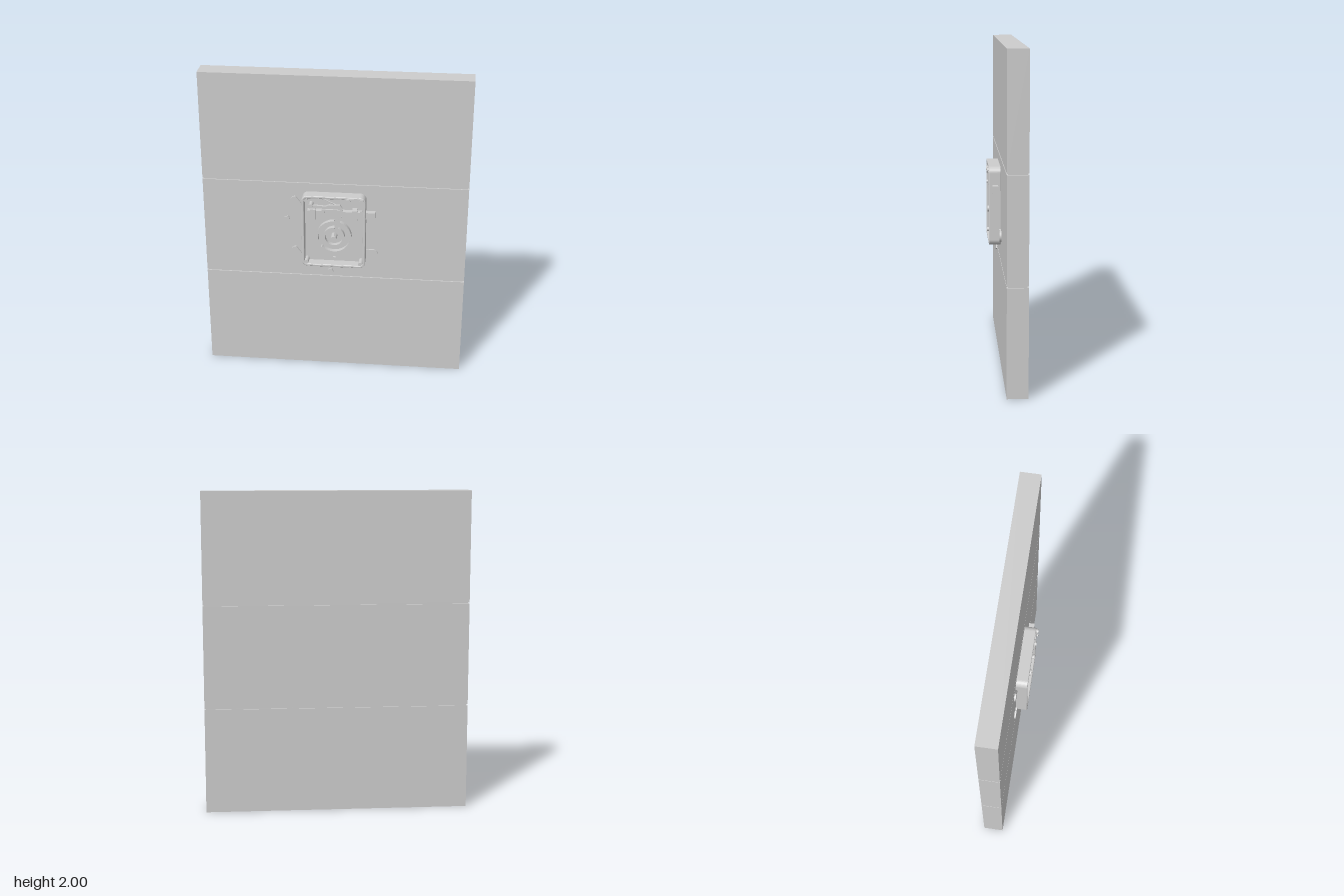
import * as THREE from 'three';

export function createModel() {
  const root = new THREE.Group();
  const grey = new THREE.MeshStandardMaterial({ color: 0xcccccc });
  grey.name = 'plain grey';

  const add = (name, geo, parent = root) => {
    const m = new THREE.Mesh(geo, grey);
    m.name = name;
    parent.add(m);
    return m;
  };
  // Box given by its extents
  const box = (name, x0, x1, y0, y1, z0, z1, parent) => {
    const m = add(name, new THREE.BoxGeometry(x1 - x0, y1 - y0, z1 - z0), parent);
    m.position.set((x0 + x1) / 2, (y0 + y1) / 2, (z0 + z1) / 2);
    return m;
  };
  // Disc or post facing forwards
  const post = (name, x, y, r, z0, z1, parent) => {
    const m = add(name, new THREE.CylinderGeometry(r, r, z1 - z0, 24).rotateX(Math.PI / 2), parent);
    m.position.set(x, y, (z0 + z1) / 2);
    return m;
  };
  // Flat shape extruded from z0 to z1
  const plate = (name, shape, z0, z1, parent) => {
    const m = add(name, new THREE.ExtrudeGeometry(shape, { depth: z1 - z0, bevelEnabled: false, curveSegments: 16 }), parent);
    m.position.z = z0;
    return m;
  };
  const poly = (pts) => new THREE.Shape(pts.map(([x, y]) => new THREE.Vector2(x, y)));
  const roundRect = (x0, x1, y0, y1, r, Type = THREE.Shape) => {
    const s = new Type();
    s.absarc(x1 - r, y1 - r, r, 0, Math.PI / 2);
    s.absarc(x0 + r, y1 - r, r, Math.PI / 2, Math.PI);
    s.absarc(x0 + r, y0 + r, r, Math.PI, Math.PI * 1.5);
    s.absarc(x1 - r, y0 + r, r, Math.PI * 1.5, Math.PI * 2);
    s.closePath();
    return s;
  };
  // Curved wall between two radii and two angles
  const arcWall = (r0, r1, a0, a1) => {
    const s = new THREE.Shape();
    s.absarc(0, 0, r1, a0, a1, false);
    s.absarc(0, 0, r0, a1, a0, true);
    s.closePath();
    return s;
  };

  // Door planks around a slightly recessed core
  const door = new THREE.Group();
  door.name = 'door';
  root.add(door);
  [[0, 0.657], [0.666, 1.303], [1.312, 2]].forEach(([a, b]) => box('plank', -0.824, 0.824, a, b, -0.106, 0.02, door));
  box('plankCore', -0.816, 0.816, 0.01, 1.99, -0.098, 0.012, door);

  const lock = new THREE.Group();
  lock.name = 'lock';
  root.add(lock);

  // Case: back plate and rounded side wall, open at the front
  plate('caseBack', roundRect(-0.195, 0.195, 0.765, 1.245, 0.035), 0.018, 0.03, lock);
  const wall = roundRect(-0.194, 0.194, 0.766, 1.244, 0.032);
  wall.holes.push(roundRect(-0.188, 0.188, 0.772, 1.238, 0.026, THREE.Path));
  const rim = add('caseWall', new THREE.ExtrudeGeometry(wall, {
    depth: 0.064, bevelEnabled: true, bevelSize: 0.005, bevelThickness: 0.005, bevelSegments: 3, curveSegments: 8,
  }), lock);
  rim.position.z = 0.023;

  // Mounting ears
  [[-0.275, -0.19, 1.145, 1.215], [-0.275, -0.19, 0.795, 0.865], [0.19, 0.275, 0.795, 0.865]]
    .forEach(([x0, x1, y0, y1]) => {
      const left = x0 < 0, r = 0.033, y = (y0 + y1) / 2;
      const s = new THREE.Shape();
      s.moveTo(left ? x1 : x0, left ? y1 : y0);
      if (left) s.absarc(x0 + r, y, 0.035, Math.PI / 2, Math.PI * 1.5);
      else s.absarc(x1 - r, y, 0.035, -Math.PI / 2, Math.PI / 2);
      s.lineTo(left ? x1 : x0, left ? y0 : y1);
      plate('mountingEar', s, 0.02, 0.031, lock);
    });

  // Corner posts and the broken corner of the cover with its screws
  [[-0.172, 1.222], [-0.172, 0.787], [0.17, 0.787]].forEach(([x, y]) => post('cornerPost', x, y, 0.014, 0.028, 0.09, lock));
  plate('coverFragment', poly([
    [0.065, 1.242], [0.09, 1.222], [0.112, 1.226], [0.137, 1.2], [0.152, 1.193], [0.172, 1.165], [0.193, 1.15],
    [0.193, 1.222], [0.173, 1.242],
  ]), 0.09, 0.097, lock);
  [[0.092, 1.228, 0.013], [0.175, 1.228, 0.014], [0.175, 1.16, 0.009]]
    .forEach(([x, y, r]) => post('coverScrew', x, y, r, 0.09, 0.106, lock));

  // Sliding bolt and its guides
  box('bolt', -0.165, 0.256, 1.096, 1.141, 0.038, 0.072, lock);
  [-0.13, 0.13].forEach((x) => box('boltGuide', x - 0.016, x + 0.016, 1.086, 1.152, 0.028, 0.08, lock));
  plate('boltTalon', poly([
    [-0.075, 1.13], [-0.055, 1.13], [-0.055, 1.144], [-0.04, 1.144], [-0.04, 1.13], [0.0, 1.13],
    [0.01, 1.115], [0.035, 1.115], [0.04, 1.155], [-0.075, 1.155],
  ]), 0.07, 0.078, lock);

  // Lever with its pivot
  plate('lever', poly([
    [-0.16, 1.165], [-0.14, 1.157], [-0.06, 1.16], [0.025, 1.165], [0.03, 1.115], [0.05, 1.1],
    [0.054, 1.165], [0.04, 1.187], [-0.03, 1.185], [-0.05, 1.175], [-0.13, 1.18], [-0.15, 1.19],
  ]), 0.06, 0.075, lock);
  post('leverPivot', -0.143, 1.175, 0.014, 0.028, 0.084, lock);

  // Leaf spring
  const springPath = new THREE.CatmullRomCurve3([
    [-0.175, 1.228], [-0.12, 1.236], [-0.07, 1.222], [-0.025, 1.2], [0.012, 1.184],
  ].map(([x, y]) => new THREE.Vector3(x, y, 0.06)));
  add('spring', new THREE.TubeGeometry(springPath, 24, 0.004, 8), lock);

  // Circular wards around the key post
  const wards = new THREE.Group();
  wards.name = 'wards';
  wards.position.set(0, 0.957, 0);
  lock.add(wards);
  const deg = Math.PI / 180;
  plate('outerWard', arcWall(0.1, 0.11, 222 * deg, 435 * deg), 0.028, 0.06, wards);
  plate('outerWardLeft', arcWall(0.1, 0.11, 90 * deg, 195 * deg), 0.028, 0.06, wards);
  plate('innerWard', arcWall(0.056, 0.066, 88 * deg, 430 * deg), 0.028, 0.06, wards);
  post('keyPost', 0, 0, 0.019, 0.028, 0.093, wards);

  // Key arm reaching from the post up to the lever
  plate('keyArm', poly([[0.0, 0.972], [0.013, 0.966], [0.049, 1.11], [0.034, 1.112]]), 0.062, 0.076, lock);
  box('stopPin', -0.008, 0.008, 0.801, 0.807, 0.028, 0.045, lock);

  // Loose chips
  [[-0.295, 1.065, 0.3], [-0.15, 0.743, 0.25], [-0.023, 0.706, 0.4]].forEach(([x, y, a]) => {
    const chip = box('chip', x - 0.014, x + 0.014, y - 0.014, y + 0.014, 0.033, 0.041, lock);
    chip.rotation.z = a;
  });

  return root;
}
